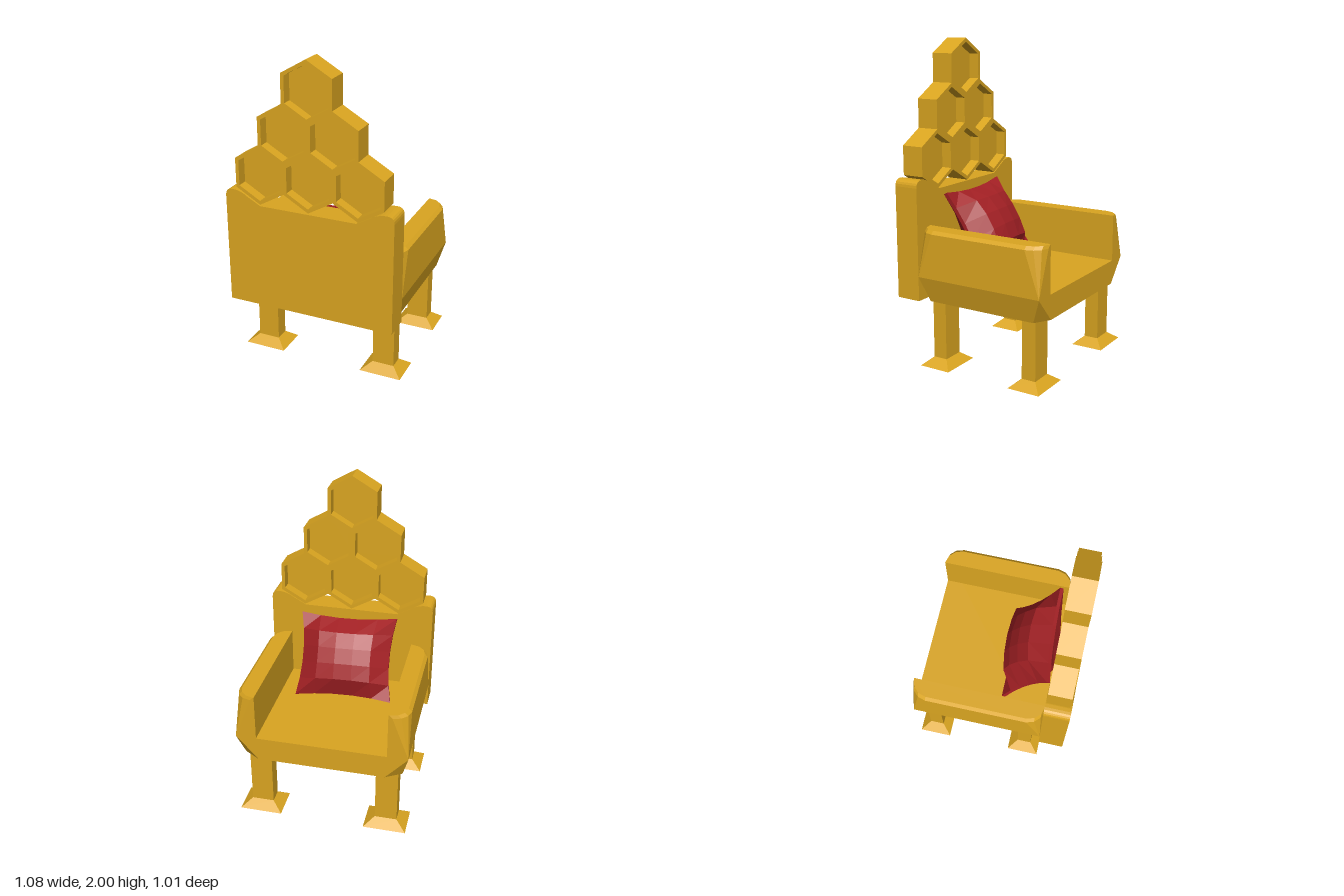
import * as THREE from 'three';

const gold = new THREE.MeshStandardMaterial({ color: 0xdaa520, flatShading: true });
const red = new THREE.MeshStandardMaterial({ color: 0xa32024, flatShading: true });

function part(group, name, geometry, material = gold) {
  const mesh = new THREE.Mesh(geometry, material);
  mesh.name = name;
  group.add(mesh);
  return mesh;
}

// Skins a stack of convex loops [[x, z], ...] at rising heights and caps both ends.
// Loops run counter-clockwise seen from above.
function loft(levels) {
  const n = levels[0].loop.length, pos = [], idx = [];
  levels.forEach(({ y, loop }) => loop.forEach(([x, z]) => pos.push(x, y, z)));
  for (let r = 0; r < levels.length - 1; r++) {
    for (let i = 0; i < n; i++) {
      const a = r * n + i, b = r * n + (i + 1) % n;
      idx.push(a, b, b + n, a, b + n, a + n);
    }
  }
  const top = (levels.length - 1) * n;
  for (let i = 1; i < n - 1; i++) idx.push(0, i + 1, i, top, top + i, top + i + 1);
  const g = new THREE.BufferGeometry();
  g.setAttribute('position', new THREE.Float32BufferAttribute(pos, 3));
  g.setIndex(idx);
  const flat = g.toNonIndexed();
  flat.computeVertexNormals();
  return flat;
}

const rect = (cx, cz, hx, hz) =>
  [[cx - hx, cz + hz], [cx + hx, cz + hz], [cx + hx, cz - hz], [cx - hx, cz - hz]];

const X = 0.54, ZF = -0.505, ZB = 0.345;

// Seat block: chamfered underside opening out to square corners
function seatGeometry() {
  const bottom = [[-0.4, ZB], [0.4, ZB], [0.5, 0.285], [0.5, -0.445],
    [0.4, ZF], [-0.4, ZF], [-0.5, -0.445], [-0.5, 0.285]];
  const top = [[-X, ZB], [X, ZB], [X, ZB], [X, ZF], [X, ZF], [-X, ZF], [-X, ZF], [-X, ZB]];
  return loft([{ y: 0.42, loop: bottom }, { y: 0.575, loop: top }]);
}

// Armrest: square at the seat, outer corners rounded at the top
function armGeometry(side) {
  const corner = [[0.1, 0], [0.05, 0.015], [0.015, 0.05], [0, 0.1]]; // inset in x, z
  const ring = (k, inset) => {
    const back = corner.map(([a, b]) => [X - inset - a * k, ZB - b * k]);
    const front = corner.map(([a, b]) => [X - inset - a * k, ZF + b * k]).reverse();
    const loop = [[0.41, ZB], ...back, ...front, [0.41, ZF]];
    return side > 0 ? loop : loop.map(([x, z]) => [-x, z]).reverse();
  };
  return loft([
    { y: 0.575, loop: ring(0, 0) },
    { y: 0.855, loop: ring(1, 0.005) },
    { y: 0.875, loop: ring(1, 0.025) },
  ]);
}

// Back panel with raised rounded shoulders
function backGeometry() {
  const s = new THREE.Shape();
  s.moveTo(-X, 0.42);
  s.lineTo(X, 0.42);
  s.lineTo(X, 1.125);
  s.quadraticCurveTo(X, 1.17, 0.495, 1.17);
  s.quadraticCurveTo(0.44, 1.17, 0.4, 1.14);
  s.lineTo(0.31, 1.09);
  s.lineTo(-0.31, 1.09);
  s.lineTo(-0.4, 1.14);
  s.quadraticCurveTo(-0.44, 1.17, -0.495, 1.17);
  s.quadraticCurveTo(-X, 1.17, -X, 1.125);
  const g = new THREE.ExtrudeGeometry(s, { depth: 0.16, bevelEnabled: false, curveSegments: 5 });
  return g.translate(0, 0, ZB);
}

// Upright hexagon outline with a point at the top
function hexPoints(r) {
  return Array.from({ length: 6 }, (_, i) => {
    const a = Math.PI / 2 + i * Math.PI / 3;
    return new THREE.Vector2(r * Math.cos(a), r * Math.sin(a));
  });
}

// Honeycomb cell: hexagonal rim with a thin web halfway through
function addCell(group, x, y) {
  const cell = new THREE.Group();
  cell.name = 'honeycombCell';
  cell.position.set(x, y, 0.35);
  const rim = new THREE.Shape(hexPoints(0.182));
  rim.holes.push(new THREE.Path(hexPoints(0.157)));
  part(cell, 'cellRim', new THREE.ExtrudeGeometry(rim, { depth: 0.143, bevelEnabled: false }));
  const web = new THREE.ExtrudeGeometry(new THREE.Shape(hexPoints(0.16)), { depth: 0.01, bevelEnabled: false });
  part(cell, 'cellWeb', web.translate(0, 0, 0.067));
  group.add(cell);
}

// Cushion: faceted pad, swollen in the middle with pulled-out corners
function cushionGeometry() {
  const g = new THREE.BoxGeometry(2, 2, 2, 5, 5, 1);
  const p = g.attributes.position;
  for (let i = 0; i < p.count; i++) {
    const u = p.getX(i), v = p.getY(i);
    const swell = Math.pow(Math.max(0, (1 - u * u) * (1 - v * v)), 0.45);
    p.setXYZ(i,
      u * (0.285 + 0.03 * v * v),
      v * (0.25 + 0.025 * u * u),
      p.getZ(i) * (0.012 + 0.125 * swell));
  }
  g.computeVertexNormals();
  return g;
}

export function createModel() {
  const chair = new THREE.Group();
  chair.name = 'honeycombArmchair';

  part(chair, 'seat', seatGeometry());
  part(chair, 'backrest', backGeometry());

  for (const side of [1, -1]) {
    part(chair, side > 0 ? 'leftArmrest' : 'rightArmrest', armGeometry(side));
    // Legs with flared feet
    for (const z of [0.238, -0.4]) {
      const leg = rect(side * 0.405, z, 0.07, 0.046);
      part(chair, 'leg', loft([
        { y: 0, loop: rect(side * 0.405, z, 0.135, 0.105) },
        { y: 0.05, loop: leg },
        { y: 0.42, loop: leg },
      ]));
    }
  }

  // Honeycomb pyramid, three rows
  const comb = new THREE.Group();
  comb.name = 'honeycombCrest';
  for (let row = 0; row < 3; row++) {
    for (let i = 0; i <= row; i++) {
      addCell(comb, (i - row / 2) * 0.315, 1.818 - row * 0.2715);
    }
  }
  chair.add(comb);

  const cushion = part(chair, 'cushion', cushionGeometry(), red);
  cushion.position.set(-0.005, 0.825, 0.175);
  cushion.rotation.set(0.53, 0.06, 0, 'YXZ');

  return chair;
}
